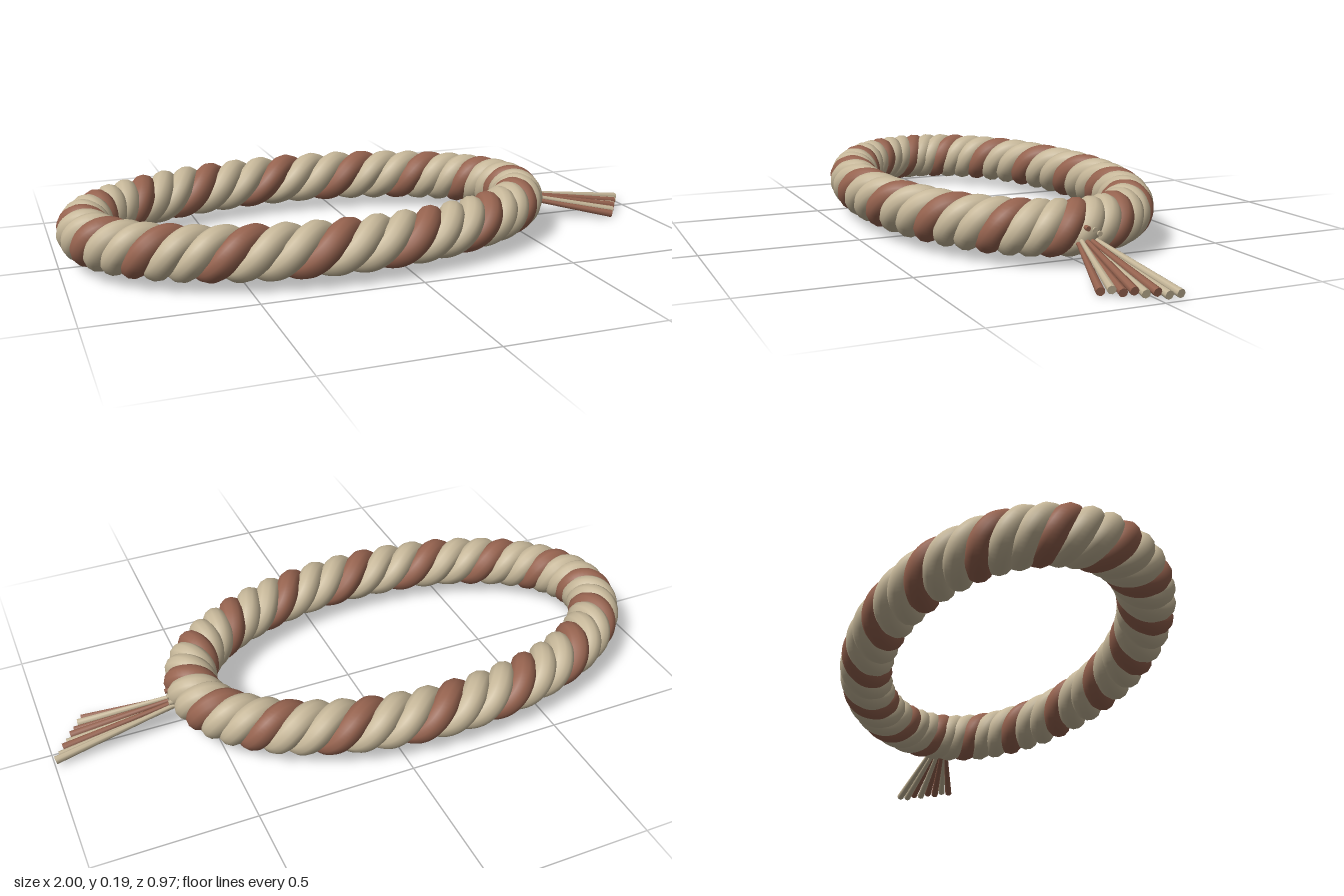
import * as THREE from 'three';

const TURNS = 16, CX = -0.19, CY = 0.107, A = 0.724, B = 0.4, LAY = 0.045, RADIUS = 0.041;

// Helix wound around an elliptical centre line
class RopeStrandCurve extends THREE.Curve {
  constructor(phase) {
    super();
    this.phase = phase;
    this.arcLengthDivisions = 3000;
  }
  getPoint(u, target = new THREE.Vector3()) {
    const t = u * Math.PI * 2;
    const c = Math.cos(t), s = Math.sin(t);
    const n = Math.hypot(B * c, A * s);
    const angle = this.phase - TURNS * t;
    const out = LAY * Math.cos(angle);
    return target.set(
      CX + A * c + out * B * c / n,
      CY + LAY * Math.sin(angle),
      B * s + out * A * s / n
    );
  }
}

// Capped, tapered cord between two points
function cord(name, from, to, r0, r1, material) {
  const dir = to.clone().sub(from);
  const mesh = new THREE.Mesh(new THREE.CylinderGeometry(r1, r0, dir.length(), 8), material);
  mesh.position.copy(from).add(to).multiplyScalar(0.5);
  mesh.quaternion.setFromUnitVectors(new THREE.Vector3(0, 1, 0), dir.normalize());
  mesh.name = name;
  return mesh;
}

export function createModel() {
  const model = new THREE.Group();
  model.name = 'ropeRing';
  const beige = new THREE.MeshStandardMaterial({ color: 0xc6b799 });
  beige.name = 'beige';
  const brown = new THREE.MeshStandardMaterial({ color: 0x96634f });
  brown.name = 'brown';

  // Three twisted strands
  for (let i = 0; i < 3; i++) {
    const curve = new RopeStrandCurve(2.1 + i * Math.PI * 2 / 3);
    const strand = new THREE.Mesh(
      new THREE.TubeGeometry(curve, 640, RADIUS, 12, true), i === 0 ? brown : beige);
    strand.name = 'ropeStrand';
    model.add(strand);
  }

  // Frayed tassel fanning out from the right-hand end
  const tassel = new THREE.Group();
  tassel.name = 'tassel';
  const colours = [brown, beige, brown, brown, beige, brown, beige, beige];
  colours.forEach((material, i) => {
    const f = i / (colours.length - 1);
    const start = new THREE.Vector3(0.47, 0.112 + 0.012 * (i % 2), 0.025 - 0.04 * f);
    const root = new THREE.Vector3(0.61, 0.07 + 0.01 * (i % 2), 0.04 - 0.055 * f);
    const end = new THREE.Vector3(0.877 + 0.119 * f, 0.013 + 0.006 * (i % 2), 0.121 - 0.17 * f);
    tassel.add(cord('tasselRoot', start, root, 0.007, 0.007, material));
    tassel.add(cord('tasselCord', root, end, 0.007, 0.013, material));
  });
  model.add(tassel);

  // Short cord ends poking out above the tassel
  const stubs = [[0.018, 0.118, brown], [-0.004, 0.112, beige], [-0.02, 0.1, beige]];
  for (const [z, y, material] of stubs) {
    model.add(cord('cordEnd', new THREE.Vector3(0.56, y + 0.005, z),
      new THREE.Vector3(0.622, y, z), 0.008, 0.008, material));
  }
  return model;
}
